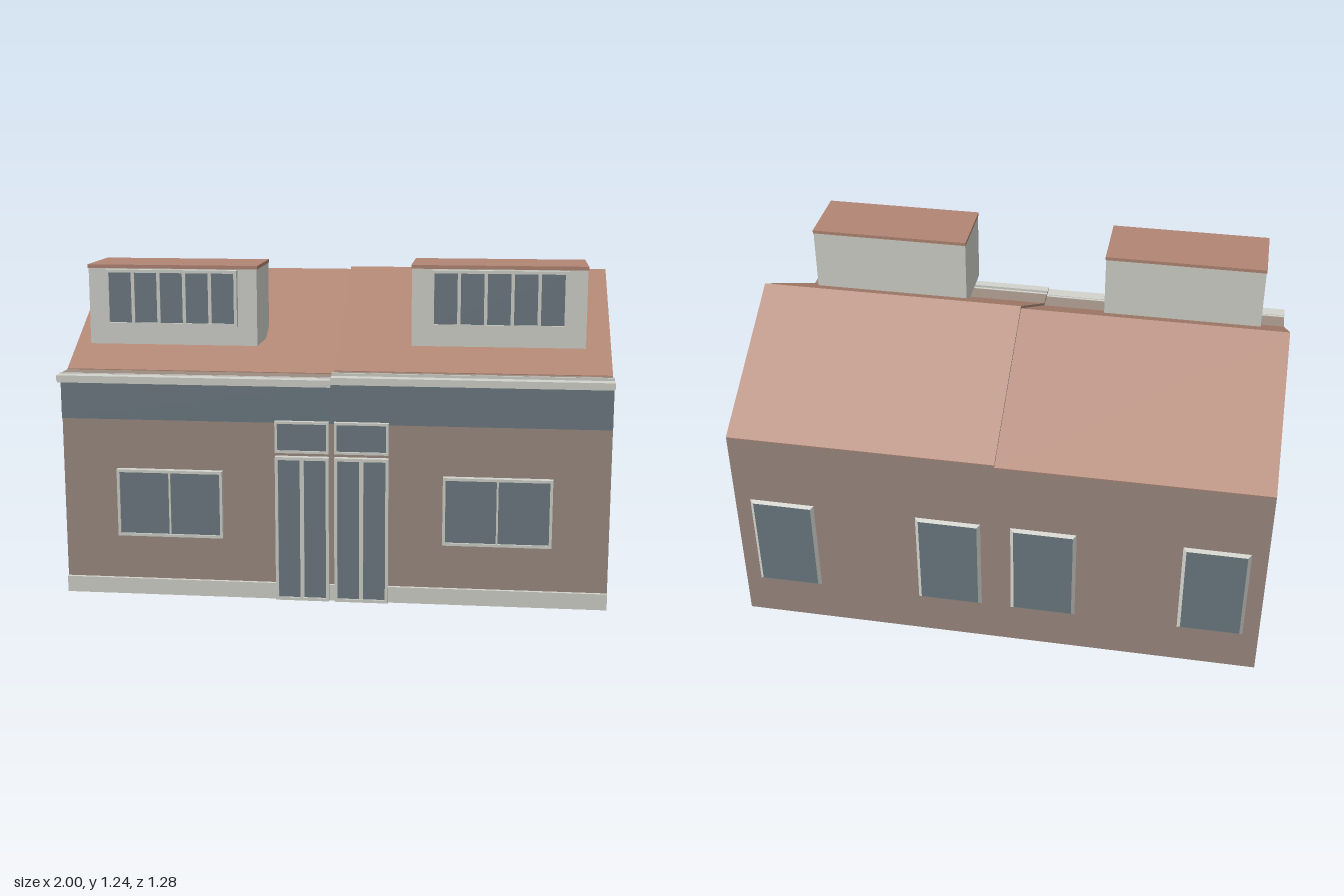
import * as THREE from 'three';

const mat = (name, color) => {
  const m = new THREE.MeshStandardMaterial({ color });
  m.name = name;
  return m;
};

export function createModel() {
  const wall = mat('brown wall', 0x9d8c82);
  const roof = mat('terracotta roof', 0xb28674);
  const trim = mat('pale trim', 0xd2d3cc);
  const glass = mat('blue grey glass', 0x6d7a82);
  const house = new THREE.Group();
  house.name = 'semiDetachedHouse';

  const add = (parent, name, geometry, material) => {
    const mesh = new THREE.Mesh(geometry, material);
    mesh.name = name;
    parent.add(mesh);
    return mesh;
  };

  // Box given by its limits on each axis
  const box = (parent, name, material, x0, x1, y0, y1, z0, z1) => {
    const g = new THREE.BoxGeometry(x1 - x0, y1 - y0, z1 - z0);
    g.translate((x0 + x1) / 2, (y0 + y1) / 2, (z0 + z1) / 2);
    return add(parent, name, g, material);
  };

  // Profile of [z, y] points swept along x
  const sweep = (parent, name, material, points, x0, x1) => {
    const shape = new THREE.Shape(points.map(([z, y]) => new THREE.Vector2(-z, y)));
    const g = new THREE.ExtrudeGeometry(shape, { depth: x1 - x0, bevelEnabled: false });
    g.rotateY(Math.PI / 2).translate(x0, 0, 0);
    return add(parent, name, g, material);
  };

  // Glazed unit: frame, evenly spaced mullions and recessed panes
  const glazing = (parent, name, x0, x1, y0, y1, z0, z1, rim, count, bar) => {
    const unit = new THREE.Group();
    unit.name = name;
    parent.add(unit);
    box(unit, 'frameLeft', trim, x1 - rim, x1, y0, y1, z0, z1);
    box(unit, 'frameRight', trim, x0, x0 + rim, y0, y1, z0, z1);
    box(unit, 'frameTop', trim, x0 + rim, x1 - rim, y1 - rim, y1, z0, z1);
    box(unit, 'frameBottom', trim, x0 + rim, x1 - rim, y0, y0 + rim, z0, z1);
    box(unit, 'panes', glass, x0 + rim, x1 - rim, y0 + rim, y1 - rim, z0, z1 - 0.007);
    const step = (x1 - x0 - 2 * rim + bar) / count;
    for (let i = 1; i < count; i++) {
      const x = x0 + rim + i * step - bar;
      box(unit, 'mullion', trim, x, x + bar, y0 + rim, y1 - rim, z0, z1 - 0.002);
    }
  };

  // Rear window: glass face with splayed pale sides
  const rearWindow = (parent, x, y, w, h) => {
    const g = new THREE.BoxGeometry(w, h, 0.01);
    const p = g.attributes.position;
    for (let i = 0; i < p.count; i++) {
      if (p.getZ(i) > 0) {
        p.setX(i, p.getX(i) - Math.sign(p.getX(i)) * 0.014);
        p.setY(i, p.getY(i) - Math.sign(p.getY(i)) * 0.014);
      }
    }
    g.computeVertexNormals();
    const m = add(parent, 'rearWindow', g, [trim, trim, trim, trim, glass, trim]);
    m.rotation.y = Math.PI;
    m.position.set(x, y, -0.634);
  };

  for (const side of [1, -1]) {
    const half = new THREE.Group();
    half.name = side > 0 ? 'leftHouse' : 'rightHouse';
    house.add(half);
    const drop = side > 0 ? 0 : -0.01; // one house sits slightly lower
    const span = (a, b) => (side > 0 ? [a, b] : [-b, -a]);
    const [x0, x1] = span(0, 1);
    const eave = 0.842 + drop;
    const ridge = 1.166 + drop;

    // Walls with gable and flat ledge at the front
    sweep(half, 'walls', wall,
      [[0.583, 0], [-0.63, 0], [-0.63, eave], [-0.065, ridge], [0.5, eave], [0.583, eave]], x0, x1);

    // Roof slopes
    const t = 0.003;
    sweep(half, 'rearSlope', roof,
      [[-0.631, eave], [-0.065, ridge], [-0.065, ridge + t], [-0.631, eave + t]], x0, x1);
    sweep(half, 'frontSlope', roof,
      [[0.5, eave], [0.5, eave + t], [-0.065, ridge + t], [-0.065, ridge]], x0, x1);

    // Gutter, fascia band and plinth
    box(half, 'gutter', trim, x0, x1, eave - 0.017, eave + 0.001, 0.578, 0.64);
    box(half, 'gutterBase', trim, x0, x1, eave - 0.026, eave - 0.017, 0.583, 0.633);
    box(half, 'gutterLip', trim, x0, x1, eave, eave + (side > 0 ? 0.011 : 0.003), 0.588, 0.596);
    box(half, 'fasciaBand', glass, x0, x1, 0.665, 0.81 + drop / 2, 0.583, 0.59);
    const plinth = [[0, 0.01], [0.207, 1]];
    for (const [a, b] of plinth) {
      box(half, 'plinth', trim, ...span(a, b), 0, 0.06, 0.583, 0.596);
    }

    // Door, light above it and front window
    glazing(half, 'frontDoor', ...span(0.01, 0.207), 0, 0.542, 0.583, 0.608, 0.011, 2, 0.015);
    glazing(half, 'transomLight', ...span(0.01, 0.207), 0.557, 0.674, 0.583, 0.608, 0.009, 1, 0);
    glazing(half, 'frontWindow', ...span(0.403, 0.796), 0.228, 0.48, 0.583, 0.608, 0.01, 2, 0.007);

    // Dormer
    const dormer = new THREE.Group();
    dormer.name = 'dormer';
    dormer.position.y = drop;
    half.add(dormer);
    box(dormer, 'dormerWalls', trim, ...span(0.28, 0.9), 0.944, 1.222, 0.262, 0.52);
    box(dormer, 'dormerRoof', roof, ...span(0.278, 0.902), 1.222, 1.235, 0.26, 0.524);
    glazing(dormer, 'dormerWindow', ...span(0.35, 0.832), 1.015, 1.219, 0.52, 0.543, 0.011, 5, 0.012);

    // Rear windows
    for (const x of [0.18, 0.817]) rearWindow(half, side * x, 0.362, 0.25, 0.4);
  }
  return house;
}
